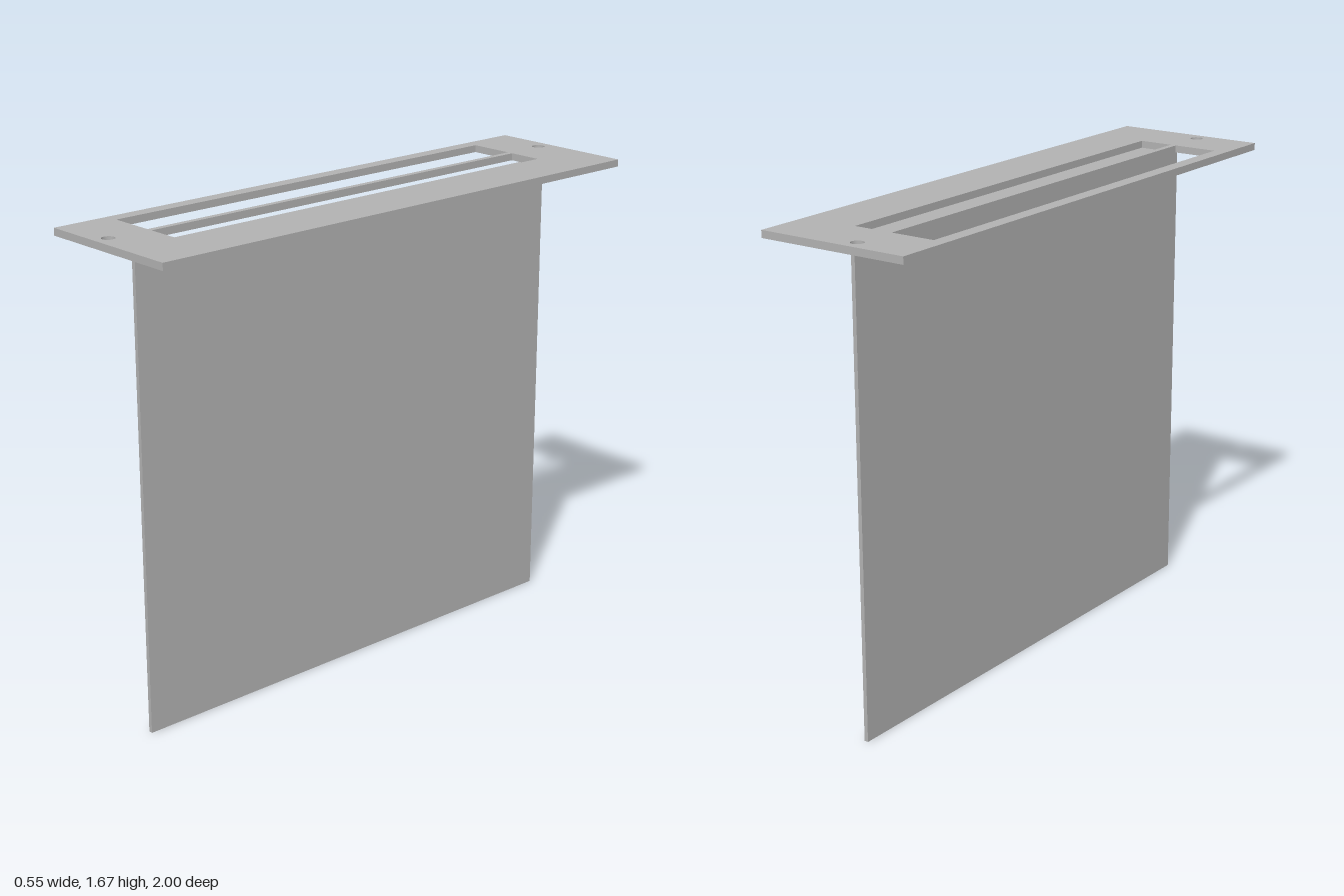
import * as THREE from 'three';

const PLATE_BOTTOM = 1.641, PLATE_TOP = 1.666;

function rectangle(PathType, x0, x1, z) {
  const p = new PathType();
  p.moveTo(x0, -z).lineTo(x1, -z).lineTo(x1, z).lineTo(x0, z).closePath();
  return p;
}

export function createModel() {
  const group = new THREE.Group();
  const grey = new THREE.MeshStandardMaterial({ color: 0xb2b2b2 });
  grey.name = 'plain grey';

  function add(name, geometry) {
    const mesh = new THREE.Mesh(geometry, grey);
    mesh.name = name;
    group.add(mesh);
    return mesh;
  }

  // Top plate with two long slots and a screw hole near each end
  const outline = rectangle(THREE.Shape, -0.273, 0.273, 1);
  outline.holes.push(
    rectangle(THREE.Path, -0.225, -0.066, 0.798),
    rectangle(THREE.Path, -0.045, 0.077, 0.798)
  );
  for (const end of [-1, 1]) {
    outline.holes.push(new THREE.Path().absarc(-0.06, end * 0.95, 0.022, 0, Math.PI * 2, true));
  }
  const plate = new THREE.ExtrudeGeometry(outline, {
    depth: PLATE_TOP - PLATE_BOTTOM, bevelEnabled: false, curveSegments: 24
  });
  plate.rotateX(-Math.PI / 2);
  add('topPlate', plate).position.y = PLATE_BOTTOM;

  // Hanging panel with its top lip bent towards +x, as one L-shaped section
  const section = new THREE.Shape([
    [-0.008, 0], [0.006, 0], [0.006, 1.624], [0.125, 1.624],
    [0.125, PLATE_BOTTOM], [-0.008, PLATE_BOTTOM]
  ].map(([x, y]) => new THREE.Vector2(x, y)));
  const panel = new THREE.ExtrudeGeometry(section, { depth: 1.806, bevelEnabled: false });
  panel.translate(0, 0, -0.903);
  add('hangingPanel', panel);

  return group;
}
